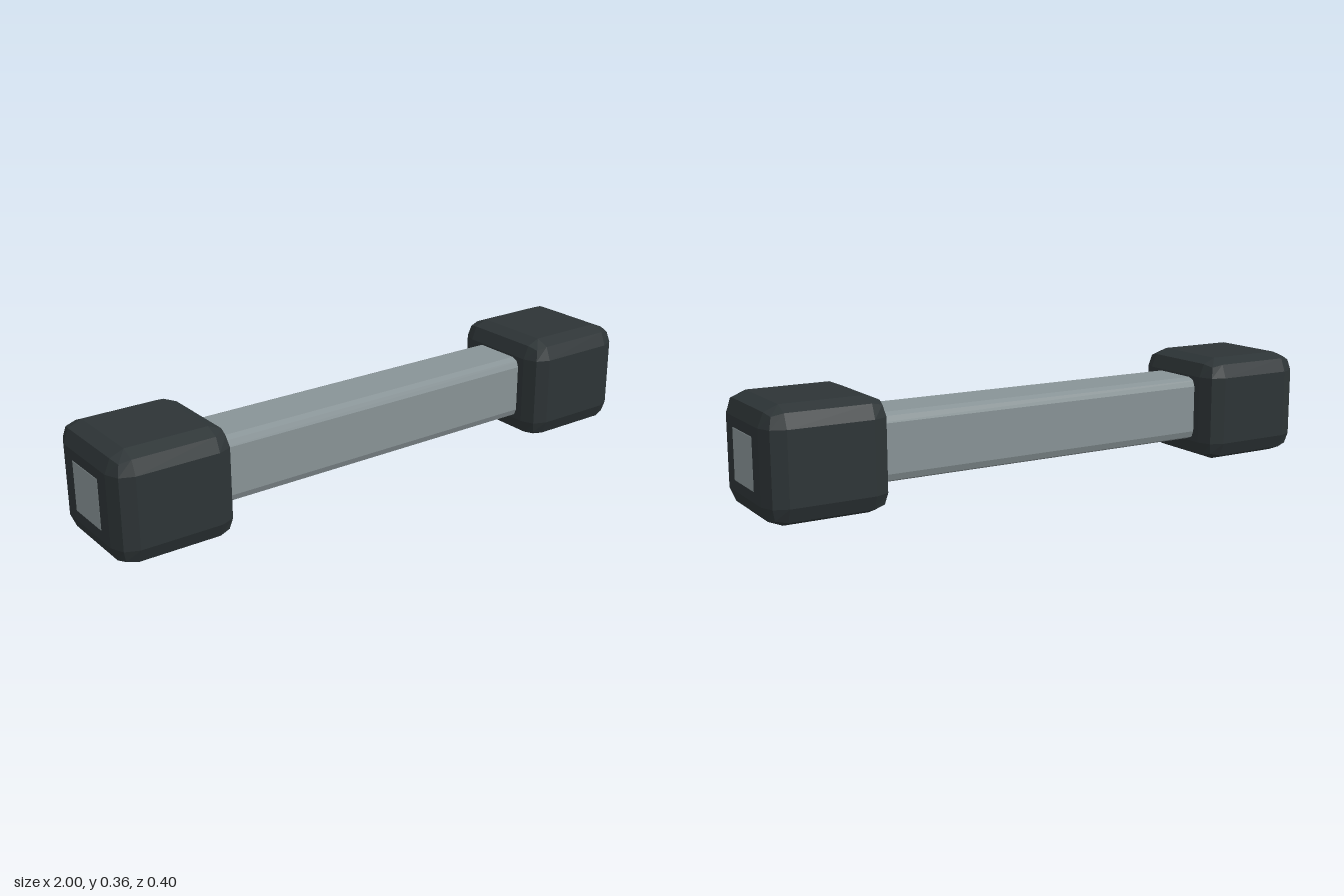
import * as THREE from 'three';
import { RoundedBoxGeometry } from 'three/addons/geometries/RoundedBoxGeometry.js';

const CENTER_Y = 0.18;

// Box with two-facet bevelled edges, centred on the dumbbell's axis
function bevelledBlock(name, [w, h, d], bevel, color, x) {
  const mesh = new THREE.Mesh(
    new RoundedBoxGeometry(w, h, d, 1, bevel),
    new THREE.MeshStandardMaterial({ color, flatShading: true })
  );
  mesh.name = name;
  mesh.position.set(x, CENTER_Y, 0);
  return mesh;
}

export function createModel() {
  const model = new THREE.Group();
  model.name = 'dumbbell';

  // Square bar running through both weights, its ends just showing
  model.add(bevelledBlock('bar', [2.002, 0.22, 0.22], 0.03, 0x889396, 0));

  // Weights at both ends
  for (const side of [1, -1]) {
    const name = side > 0 ? 'leftWeight' : 'rightWeight';
    model.add(bevelledBlock(name, [0.4, 0.36, 0.4], 0.064, 0x2d3436, side * 0.8));
  }
  return model;
}
